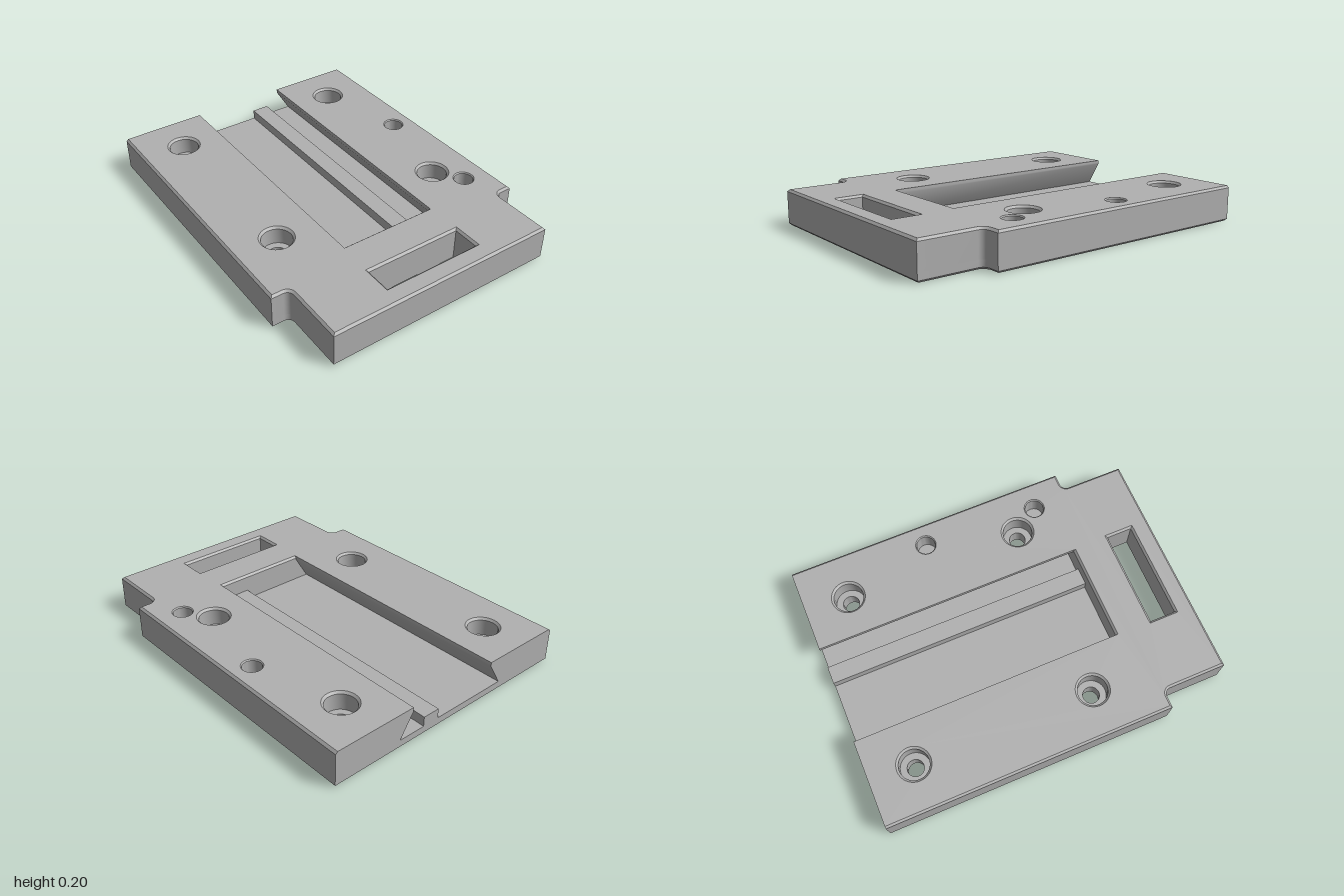
import * as THREE from 'three';
import { toCreasedNormals } from 'three/addons/utils/BufferGeometryUtils.js';

const HEIGHT = 0.203, FLOOR = 0.05, BEVEL = 0.012;
const CHANNEL_END = 0.53, LIP = 0.28, UNDERCUT = 0.36;
const SCREWS = [[-0.515, -0.75], [0.51, -0.75], [-0.515, 0.28], [0.51, 0.28]];
const POCKETS = [[0.64, -0.235], [0.613, 0.43]];
const SCREW_R = 0.046, BORE_R = 0.083, POCKET_R = 0.053;

// Plate outline as [x, z], inset by d; the back edge sits at z = back
function outline(d, back = -1) {
  const half = [[0.768 - d, back], [0.768 - d, 0.635 - d]];
  for (let i = 0; i <= 8; i++) {
    const a = (i / 8) * Math.PI / 2, r = 0.037 + d;
    half.push([0.702 - r * Math.sin(a), 0.672 - r * Math.cos(a)]);
  }
  half.push([0.665 - d, 1 - d]);
  return [...half, ...half.map(([x, z]) => [-x, z]).reverse()];
}

// Same outline with the dovetail channel cut in from the back
function channelOutline(d, w, end) {
  return [...outline(d), [-w, -1], [-w, end], [w, end], [w, -1]];
}

// Rectangular slot, wound the opposite way to the outline
function slot(d) {
  const x = 0.28 + d, z0 = 0.745 - d, z1 = 0.893 + d;
  return [[x, z1], [x, z0], [-x, z0], [-x, z1]];
}

function circle([cx, cz], r, n = 40) {
  return Array.from({ length: n }, (_, i) => {
    const a = (i / n) * Math.PI * 2;
    return [cx + r * Math.sin(a), cz + r * Math.cos(a)];
  });
}

// Walls joining closed loops at successive heights: [[y, points], ...]
function walls(levels) {
  const pos = [];
  for (let k = 0; k + 1 < levels.length; k++) {
    const [y0, p] = levels[k], [y1, q] = levels[k + 1];
    for (let i = 0; i < p.length; i++) {
      const j = (i + 1) % p.length;
      const a = [p[i][0], y0, p[i][1]], b = [p[j][0], y0, p[j][1]];
      const c = [q[j][0], y1, q[j][1]], e = [q[i][0], y1, q[i][1]];
      pos.push(...a, ...e, ...b, ...b, ...e, ...c);
    }
  }
  const g = new THREE.BufferGeometry();
  g.setAttribute('position', new THREE.Float32BufferAttribute(pos, 3));
  return toCreasedNormals(g, 0.6);
}

// Flat face with holes, facing up or down
function cap(points, holes, y, up) {
  const s = up ? -1 : 1;
  const vecs = (pts) => pts.map(([x, z]) => new THREE.Vector2(x, s * z));
  const shape = new THREE.Shape(vecs(points));
  for (const h of holes) shape.holes.push(new THREE.Path(vecs(h)));
  return new THREE.ShapeGeometry(shape).rotateX(s * Math.PI / 2).translate(0, y, 0);
}

// Inner surface of a round hole, profile listed from the top down
function bore(profile) {
  const pts = profile.map(([r, y]) => new THREE.Vector2(r, y));
  return toCreasedNormals(new THREE.LatheGeometry(pts, 40), 0.6);
}

export function createModel() {
  const group = new THREE.Group();
  const grey = new THREE.MeshStandardMaterial({ color: 0xb0b0b0 });
  grey.name = 'plain grey';
  const add = (name, geometry, x = 0, z = 0) => {
    const mesh = new THREE.Mesh(geometry, grey);
    mesh.name = name;
    mesh.position.set(x, 0, z);
    group.add(mesh);
  };
  const top = HEIGHT - BEVEL;

  // Base below the channel floor
  add('baseWalls', walls([
    [0, outline(BEVEL, -1 + BEVEL)], [BEVEL, outline(0)], [FLOOR, outline(0)],
  ]));
  add('underside', cap(outline(BEVEL, -1 + BEVEL),
    [slot(BEVEL), ...SCREWS.map((c) => circle(c, SCREW_R + BEVEL))], 0, false));

  // Upper body with the undercut channel
  add('bodyWalls', walls([
    [FLOOR, channelOutline(0, UNDERCUT, CHANNEL_END)],
    [0.18, channelOutline(0, LIP, CHANNEL_END)],
    [top, channelOutline(0, LIP, CHANNEL_END)],
    [HEIGHT, channelOutline(BEVEL, LIP, CHANNEL_END + BEVEL)],
  ]));
  add('topFace', cap(channelOutline(BEVEL, LIP, CHANNEL_END + BEVEL), [
    slot(BEVEL),
    ...SCREWS.map((c) => circle(c, BORE_R + BEVEL)),
    ...POCKETS.map((c) => circle(c, POCKET_R + BEVEL / 2)),
  ], HEIGHT, true));

  // Channel floor and guide rib
  add('channelFloor', cap([[-UNDERCUT, -1], [UNDERCUT, -1],
    [UNDERCUT, CHANNEL_END], [-UNDERCUT, CHANNEL_END]], [], FLOOR, true));
  const rib = new THREE.BoxGeometry(0.1, 0.055, CHANNEL_END + 1);
  add('guideRib', rib.translate(0.15, FLOOR + 0.0275, (CHANNEL_END - 1) / 2));

  // Strap slot
  add('slotWalls', walls([
    [0, slot(BEVEL)], [BEVEL, slot(0)], [top, slot(0)], [HEIGHT, slot(BEVEL)],
  ]));

  // Counterbored screw holes and blind pockets
  const screw = bore([[BORE_R + BEVEL, HEIGHT], [BORE_R, top], [BORE_R, 0.1],
    [SCREW_R, 0.1], [SCREW_R, BEVEL], [SCREW_R + BEVEL, 0]]);
  for (const [x, z] of SCREWS) add('screwHole', screw, x, z);
  const pocket = bore([[POCKET_R + BEVEL / 2, HEIGHT], [POCKET_R, HEIGHT - BEVEL / 2],
    [POCKET_R, 0.1], [0, 0.1]]);
  for (const [x, z] of POCKETS) add('blindPocket', pocket, x, z);

  return group;
}
